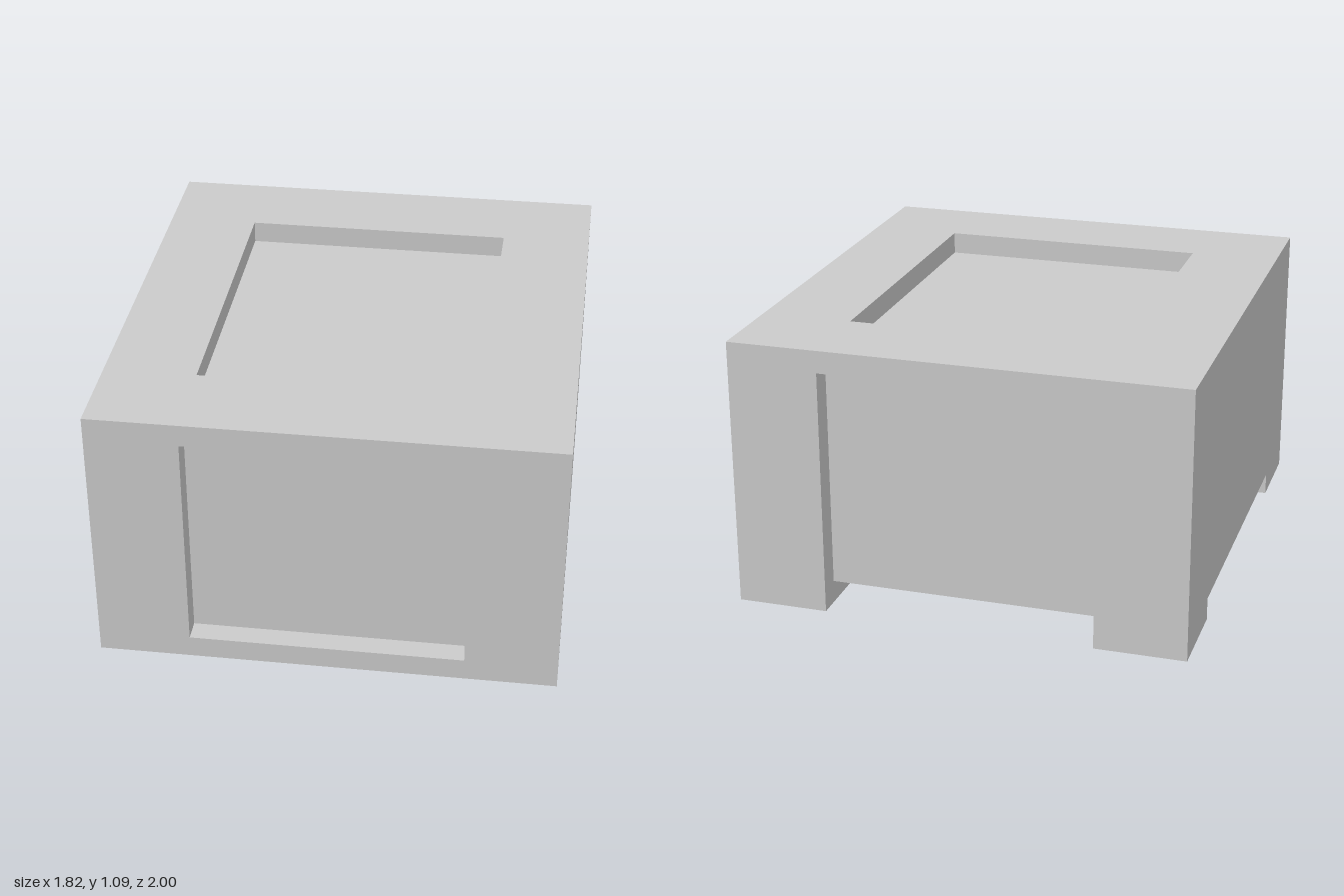
import * as THREE from 'three';
import { mergeGeometries } from 'three/addons/utils/BufferGeometryUtils.js';

// Main dimensions: half width, half depth, height, wall thickness, recess half sizes
const W = 0.91, D = 1, H = 1.09, T = 0.09, RX = 0.545, RZ = 0.64;
const TOP = H - T;

// Rotation [x, y] that turns a sheet facing +z to each direction
const TURN = {
  front: [0, 0], back: [0, Math.PI],
  right: [0, Math.PI / 2], left: [0, -Math.PI / 2],
  top: [-Math.PI / 2, 0], bottom: [Math.PI / 2, 0],
};

const rect = (u0, u1, v0, v1) => [[u0, v0], [u1, v0], [u1, v1], [u0, v1]];
const toVectors = (pts) => pts.map(([u, v]) => new THREE.Vector2(u, v));

// Flat sheet facing a direction, at distance d from the origin along it
function sheet(direction, d, outline, hole) {
  const shape = new THREE.Shape(toVectors(outline));
  if (hole) shape.holes.push(new THREE.Path(toVectors(hole)));
  const [rx, ry] = TURN[direction];
  return new THREE.ShapeGeometry(shape).translate(0, 0, d).rotateX(rx).rotateY(ry);
}

export function createModel() {
  const group = new THREE.Group();
  const material = new THREE.MeshStandardMaterial({ color: 0xcccccc, flatShading: true });
  const addPart = (name, sheets) => {
    const mesh = new THREE.Mesh(mergeGeometries(sheets), material);
    mesh.name = name;
    group.add(mesh);
  };

  // Outer walls: both sides are notched by the channel underneath
  const side = [[-D, 0], [-RZ, 0], [-RZ, T], [RZ, T], [RZ, 0], [D, 0], [D, H], [-D, H]];
  const backOutline = [[-W, 0], [-RX, 0], [-RX, TOP], [RX, TOP], [RX, 0], [W, 0], [W, H], [-W, H]];
  addPart('outerWalls', [
    sheet('top', H, rect(-W, W, -D, D), rect(-RX, RX, -RZ, RZ)),
    sheet('front', D, rect(-W, W, 0, H), rect(-RX, RX, T, TOP)),
    sheet('back', D, backOutline),
    sheet('right', W, side),
    sheet('left', W, side),
  ]);

  // Shallow tray in the top
  addPart('topRecess', [
    sheet('top', TOP, rect(-RX, RX, -RZ, RZ)),
    ...['left', 'right'].map((dir) => sheet(dir, -RX, rect(-RZ, RZ, TOP, H))),
    ...['front', 'back'].map((dir) => sheet(dir, -RZ, rect(-RX, RX, TOP, H))),
  ]);

  // Framed panel in the front
  addPart('frontRecess', [
    sheet('front', D - T, rect(-RX, RX, T, TOP)),
    sheet('right', -RX, rect(-D, T - D, T, TOP)),
    sheet('left', -RX, rect(D - T, D, T, TOP)),
    sheet('top', T, rect(-RX, RX, -D, T - D)),
    sheet('bottom', -TOP, rect(-RX, RX, D - T, D)),
  ]);

  // Panel in the back, open at the bottom
  addPart('backRecess', [
    sheet('back', D - T, rect(-RX, RX, T, TOP)),
    sheet('right', -RX, rect(D - T, D, T, TOP)),
    sheet('left', -RX, rect(-D, T - D, T, TOP)),
    sheet('bottom', -TOP, rect(-RX, RX, -D, T - D)),
  ]);

  // Raised underside, reaching back between the two rear feet
  addPart('underside', [
    sheet('bottom', -T, [
      [-W, -RZ], [-RX, -RZ], [-RX, T - D], [RX, T - D],
      [RX, -RZ], [W, -RZ], [W, RZ], [-W, RZ],
    ]),
  ]);

  // Full-width front foot
  addPart('frontFoot', [
    sheet('bottom', 0, rect(-W, W, RZ, D)),
    sheet('back', -RZ, rect(-W, W, 0, T)),
  ]);

  // Pair of rear feet
  for (const [name, x0, x1, inner, u0, u1] of [
    ['leftRearFoot', RX, W, 'left', -D, -RZ],
    ['rightRearFoot', -W, -RX, 'right', RZ, D],
  ]) {
    addPart(name, [
      sheet('bottom', 0, rect(x0, x1, -D, -RZ)),
      sheet('front', -RZ, rect(x0, x1, 0, T)),
      sheet(inner, -RX, rect(u0, u1, 0, T)),
    ]);
  }

  return group;
}
